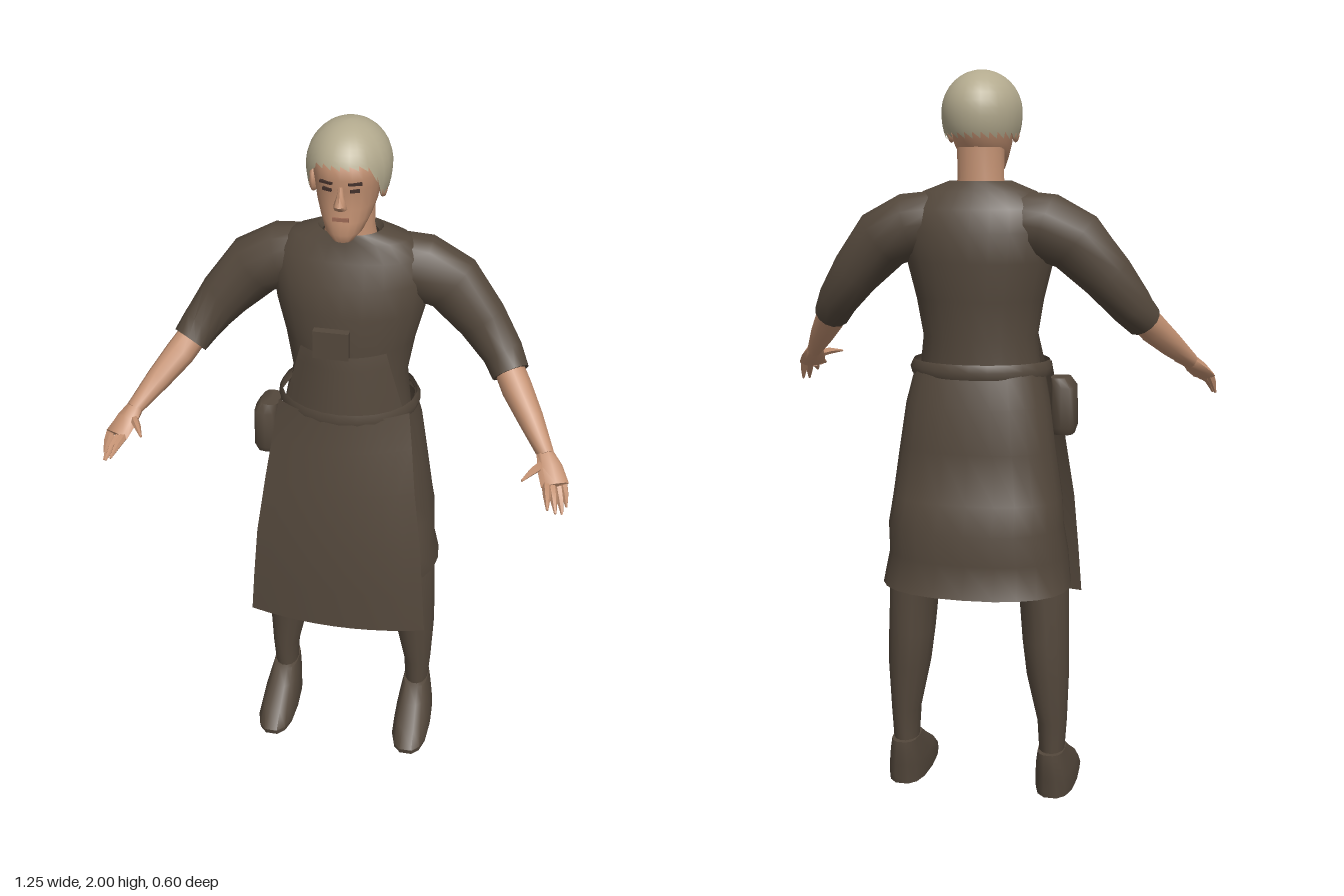
import * as THREE from 'three';
import { toCreasedNormals } from 'three/addons/utils/BufferGeometryUtils.js';

const paint = (name, color) => {
  const m = new THREE.MeshStandardMaterial({ color, side: THREE.DoubleSide });
  m.name = name;
  return m;
};
const cloth = paint('brown cloth', 0x54483c);
const skin = paint('skin', 0xc49273);
const linen = paint('cap linen', 0xb3aa8e);
const dark = paint('eye dark', 0x43302a);
const lip = paint('lip', 0x9d6a55);

// Skin a list of rings (each an array of Vector3), optionally closing the ends
function loft(rings, capStart = false, capEnd = false) {
  const n = rings[0].length, pos = [], idx = [];
  rings.forEach(r => r.forEach(p => pos.push(p.x, p.y, p.z)));
  for (let i = 0; i < rings.length - 1; i++) {
    for (let j = 0; j < n; j++) {
      const k = (j + 1) % n, a = i * n + j, b = i * n + k;
      idx.push(a, b, a + n, b, b + n, a + n);
    }
  }
  const cap = (i, flip) => {
    const c = new THREE.Vector3();
    rings[i].forEach(p => c.addScaledVector(p, 1 / n));
    const at = pos.length / 3;
    pos.push(c.x, c.y, c.z);
    for (let j = 0; j < n; j++) {
      const a = i * n + j, b = i * n + (j + 1) % n;
      if (flip) idx.push(at, b, a); else idx.push(at, a, b);
    }
  };
  if (capStart) cap(0, true);
  if (capEnd) cap(rings.length - 1, false);
  const g = new THREE.BufferGeometry();
  g.setAttribute('position', new THREE.Float32BufferAttribute(pos, 3));
  g.setIndex(idx);
  return toCreasedNormals(g, 0.95);
}

// Level rings from bottom to top: [y, half width, front z, back z, centre x]
function body(rows, sides = 20, square = 1, capStart = false, capEnd = false) {
  const sq = v => Math.sign(v) * Math.abs(v) ** square;
  return loft(rows.map(([y, rx, zf, zb, cx = 0]) =>
    Array.from({ length: sides }, (_, j) => {
      const a = j / sides * Math.PI * 2;
      return new THREE.Vector3(cx + rx * sq(Math.cos(a)), y,
        (zf + zb) / 2 - (zf - zb) / 2 * sq(Math.sin(a)));
    })), capStart, capEnd);
}

// Limb along a path: [x, y, z, radius across, radius up]
function limb(points, side, sides = 10) {
  const p = points.map(q => new THREE.Vector3(q[0] * side, q[1], q[2]));
  const up = new THREE.Vector3(0, 1, 0);
  return loft(p.map((c, i) => {
    const t = p[Math.min(i + 1, p.length - 1)].clone().sub(p[Math.max(i - 1, 0)]).normalize();
    const u = t.clone().cross(up).normalize(), v = t.clone().cross(u);
    const [ru, rv = ru] = points[i].slice(3);
    return Array.from({ length: sides }, (_, j) => {
      const a = j / sides * Math.PI * 2;
      return c.clone().addScaledVector(u, Math.cos(a) * ru).addScaledVector(v, Math.sin(a) * rv);
    });
  }), true, true);
}

// Curved sheet facing forward; rows from top to bottom: [y, half width, middle z, sag at the edges]
function sheet(rows) {
  const cols = 10, g = new THREE.PlaneGeometry(1, 1, cols, rows.length - 1), p = g.attributes.position;
  for (let i = 0; i < p.count; i++) {
    const [y, w, z, sag] = rows[Math.floor(i / (cols + 1))];
    const u = (i % (cols + 1)) / cols * 2 - 1;
    p.setXYZ(i, u * w, y, z - sag * u * u);
  }
  g.computeVertexNormals();
  return g;
}

// Cap dome whose rim is high over the brow and low over ears and nape
function capDome() {
  const g = new THREE.SphereGeometry(1, 28, 12), p = g.attributes.position;
  const cy = 1.89, ry = 0.11;
  for (let i = 0; i < p.count; i++) {
    const t = Math.floor(i / 29) / 12, a = (i % 29) / 28 * Math.PI * 2;
    const zRim = -0.05 + 0.128 * Math.sin(a);
    const rim = THREE.MathUtils.lerp(1.82, 1.915, THREE.MathUtils.smoothstep(zRim, -0.01, 0.06));
    const th = t * Math.acos((rim - cy) / ry);
    const s = Math.sin(th), r = th > Math.PI / 2 ? Math.sqrt(s) : s;
    p.setXYZ(i, -0.107 * r * Math.cos(a), cy + ry * Math.cos(th), -0.05 + 0.128 * r * Math.sin(a));
  }
  g.computeVertexNormals();
  // Keep the sheet facing outward
  const n = g.attributes.normal;
  if (n.getY(40) < 0) {
    g.setIndex(Array.from(g.index.array).reverse());
    g.computeVertexNormals();
  }
  return g;
}

export function createModel() {
  const model = new THREE.Group();
  model.name = 'apronedWorker';
  const add = (name, geo, mat, x = 0, y = 0, z = 0) => {
    const m = new THREE.Mesh(geo, mat);
    m.name = name;
    m.position.set(x, y, z);
    model.add(m);
    return m;
  };

  // Head, neck and face
  add('neck', body([[1.66, 0.075, 0.0, -0.13], [1.72, 0.063, -0.005, -0.125], [1.84, 0.065, 0.0, -0.13]], 16), skin);
  add('head', body([
    [1.722, 0.026, 0.06, 0.0], [1.745, 0.048, 0.07, -0.05], [1.775, 0.063, 0.066, -0.1],
    [1.81, 0.075, 0.066, -0.14], [1.86, 0.083, 0.064, -0.15], [1.89, 0.086, 0.073, -0.155],
    [1.93, 0.082, 0.066, -0.15], [1.97, 0.05, 0.02, -0.1]], 20, 0.9, true, true), skin);
  add('nose', body([[1.815, 0.017, 0.082, 0.05], [1.828, 0.016, 0.094, 0.05], [1.85, 0.009, 0.08, 0.05],
    [1.872, 0.007, 0.07, 0.05]], 8, 1, true, true), skin);
  add('mouth', new THREE.BoxGeometry(0.042, 0.009, 0.009), lip, 0, 1.787, 0.065);
  for (const s of [1, -1]) {
    const eye = add('eye', new THREE.BoxGeometry(0.024, 0.008, 0.008), dark, s * 0.034, 1.862, 0.058);
    eye.rotation.y = s * 0.35;
    const brow = add('brow', new THREE.BoxGeometry(0.034, 0.006, 0.008), dark, s * 0.036, 1.882, 0.064);
    brow.rotation.y = s * 0.35;
    const ear = add('ear', new THREE.SphereGeometry(1, 8, 6), skin, s * 0.088, 1.845, -0.035);
    ear.scale.set(0.012, 0.034, 0.022);
  }
  add('cap', capDome(), linen);

  // Tunic and skirt
  add('tunic', body([
    [1.18, 0.17, 0.055, -0.195], [1.3, 0.158, 0.055, -0.19], [1.4, 0.175, 0.058, -0.202],
    [1.5, 0.2, 0.058, -0.212], [1.58, 0.21, 0.045, -0.212], [1.64, 0.2, 0.018, -0.19],
    [1.685, 0.155, 0.002, -0.16], [1.712, 0.085, -0.002, -0.135], [1.695, 0.074, -0.008, -0.128]], 24), cloth);
  add('skirt', body([
    [0.615, 0.262, 0.07, -0.298], [0.7, 0.25, 0.09, -0.268], [0.79, 0.242, 0.045, -0.295],
    [0.86, 0.236, 0.04, -0.252], [1.0, 0.215, 0.03, -0.242], [1.12, 0.198, 0.035, -0.23],
    [1.21, 0.178, 0.05, -0.205]], 24, 0.85), cloth);
  add('belt', body([[1.195, 0.192, 0.1, -0.215], [1.215, 0.197, 0.105, -0.222], [1.235, 0.188, 0.1, -0.212]], 24), cloth);

  // Apron, bib, pocket and pouch
  add('apron', sheet([[1.22, 0.18, 0.1, 0.07], [1.12, 0.194, 0.115, 0.06], [1.0, 0.21, 0.138, 0.048],
    [0.82, 0.235, 0.156, 0.042], [0.66, 0.248, 0.16, 0.036], [0.53, 0.258, 0.16, 0.034]]), cloth);
  add('bib', sheet([[1.4, 0.115, 0.078, 0.045], [1.36, 0.126, 0.084, 0.05], [1.22, 0.162, 0.095, 0.075]]), cloth);
  add('bibPocket', new THREE.BoxGeometry(0.095, 0.08, 0.022), cloth, -0.025, 1.432, 0.068);
  add('pouch', body([[1.03, 0.03, 0.02, -0.07, -0.225], [1.05, 0.037, 0.03, -0.08, -0.225],
    [1.16, 0.034, 0.028, -0.078, -0.225], [1.185, 0.026, 0.015, -0.065, -0.215]], 12, 0.6, true, true), cloth);

  for (const s of [1, -1]) {
    // Arm with a loose elbow-length sleeve
    add('sleeve', limb([[0.1, 1.605, -0.095, 0.07, 0.085], [0.185, 1.593, -0.1, 0.085, 0.09],
      [0.265, 1.555, -0.1, 0.074, 0.085], [0.35, 1.462, -0.085, 0.06, 0.07],
      [0.41, 1.385, -0.06, 0.053, 0.058], [0.438, 1.345, -0.025, 0.05, 0.05]], s, 14), cloth);
    add('forearm', limb([[0.425, 1.365, -0.04, 0.04], [0.46, 1.32, 0.01, 0.041], [0.505, 1.27, 0.07, 0.034],
      [0.555, 1.215, 0.145, 0.022]], s), skin);
    add('palm', limb([[0.55, 1.22, 0.138, 0.022, 0.02], [0.568, 1.195, 0.17, 0.035, 0.02],
      [0.587, 1.168, 0.21, 0.038, 0.014]], s, 8), skin);
    const fingers = [[0.565, 1.17, 0.215, 0.575, 1.155, 0.3], [0.58, 1.165, 0.215, 0.596, 1.135, 0.285],
      [0.595, 1.165, 0.21, 0.613, 1.112, 0.255], [0.607, 1.168, 0.2, 0.622, 1.115, 0.225],
      [0.552, 1.2, 0.165, 0.503, 1.2, 0.25]];
    for (const [x, y, z, tx, ty, tz] of fingers) {
      add('finger', limb([[x, y, z, 0.012], [(x + tx) / 2, (y + ty) / 2 + 0.004, (z + tz) / 2, 0.01],
        [tx, ty, tz, 0.003]], s, 6), skin);
    }

    // Leg and shoe
    add('leg', body([[0.13, 0.036, -0.05, -0.148, s * 0.213], [0.22, 0.042, -0.045, -0.152, s * 0.213],
      [0.36, 0.06, -0.03, -0.175, s * 0.2], [0.46, 0.066, -0.022, -0.178, s * 0.193],
      [0.6, 0.07, -0.005, -0.18, s * 0.185], [0.85, 0.085, 0.01, -0.19, s * 0.125]], 14, 1, true), cloth);
    add('shoe', body([[0, 0.056, 0.13, -0.15, s * 0.217], [0.02, 0.058, 0.135, -0.152, s * 0.217],
      [0.06, 0.053, 0.085, -0.157, s * 0.216], [0.1, 0.045, 0.015, -0.163, s * 0.214],
      [0.133, 0.038, -0.035, -0.163, s * 0.213]], 14, 0.75, true, true), cloth);
  }
  return model;
}
